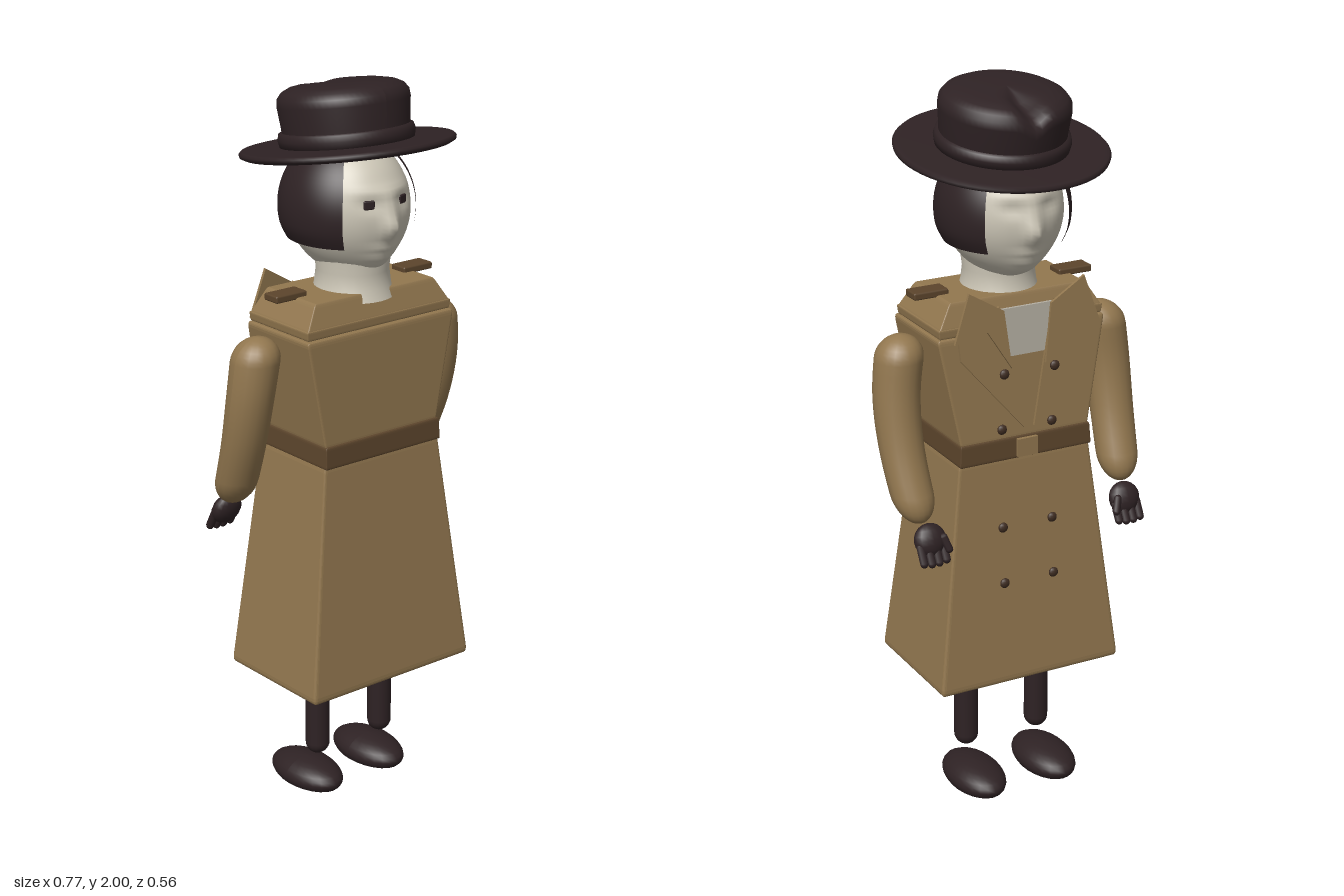
import * as THREE from 'three';
import { RoundedBoxGeometry } from 'three/addons/geometries/RoundedBoxGeometry.js';

const mat = (name, color) => {
  const m = new THREE.MeshStandardMaterial({ color });
  m.name = name;
  return m;
};

export function createModel() {
  const root = new THREE.Group();
  const coat = mat('coat tan', 0x92774f);
  const trim = mat('belt brown', 0x5c452c);
  const dark = mat('felt and leather', 0x2e2224);
  const skin = mat('pale skin', 0xccc6b6);
  const shirtMat = mat('shirt grey', 0xb4aea2);
  const buttonMat = mat('button brown', 0x3f2d22);

  const add = (name, geo, material, x = 0, y = 0, z = 0, parent = root) => {
    const m = new THREE.Mesh(geo, material);
    m.name = name;
    m.position.set(x, y, z);
    parent.add(m);
    return m;
  };
  // Apply a rule to every vertex
  const warp = (geo, rule) => {
    const p = geo.attributes.position, v = new THREE.Vector3();
    for (let i = 0; i < p.count; i++) {
      v.fromBufferAttribute(p, i);
      rule(v);
      p.setXYZ(i, v.x, v.y, v.z);
    }
    geo.computeVertexNormals();
    return geo;
  };
  const bump = (d, s) => Math.exp(-d * d / (s * s));
  const lerp = THREE.MathUtils.lerp;

  // Rounded block tapering between two rectangles [halfWidth, frontZ, backZ]
  const block = (name, material, y0, y1, low, high, r = 0.015) => {
    const g = warp(new RoundedBoxGeometry(1, y1 - y0, 1, 2, r), v => {
      const t = v.y / (y1 - y0) + 0.5;
      const [w, f, b] = low.map((n, i) => lerp(n, high[i], t));
      v.set(v.x * 2 * w, v.y, lerp(b, f, v.z + 0.5));
    });
    return add(name, g, material, 0, (y0 + y1) / 2, 0);
  };

  // Coat
  block('coatSkirt', coat, 0.365, 1.02, [0.275, 0.198, -0.174], [0.195, 0.147, -0.13], 0.02);
  block('belt', trim, 1.01, 1.07, [0.198, 0.155, -0.14], [0.194, 0.152, -0.137], 0.008);
  block('coatBody', coat, 1.06, 1.365, [0.19, 0.145, -0.132], [0.248, 0.145, -0.115]);
  block('shoulderHem', coat, 1.367, 1.392, [0.24, 0.135, -0.11], [0.243, 0.137, -0.112], 0.006);
  block('shoulderCape', coat, 1.385, 1.455, [0.243, 0.137, -0.112], [0.2, 0.115, -0.09], 0.01);
  add('buckle', new THREE.BoxGeometry(0.06, 0.05, 0.012), coat, 0, 1.04, -0.142);

  // Flat pieces on the coat opening, leaning outward towards the waist
  const flap = (name, pts, side, off, material) => {
    const shape = new THREE.Shape(pts.map(([x, y]) => new THREE.Vector2(x * side, y)));
    const g = new THREE.ExtrudeGeometry(shape, { depth: 0.008, bevelEnabled: false });
    warp(g, v => { v.z -= 0.128 + off + (1.49 - v.y) * 0.055; });
    add(name, g, material);
  };
  flap('shirtFront', [[-0.06, 1.3], [-0.085, 1.43], [0.085, 1.43], [0.06, 1.3]], 1, 0, shirtMat);

  for (const s of [1, -1]) {
    flap('lapel', [[0.08, 1.44], [0.2, 1.36], [0.195, 1.31], [0.015, 1.1]], s, 0.005, coat);
    flap('collar', [[0.07, 1.43], [0.17, 1.49], [0.215, 1.36], [0.12, 1.38], [0.05, 1.27]], s, 0.013, coat);
    add('epaulet', new RoundedBoxGeometry(0.1, 0.02, 0.055, 1, 0.005), trim, s * 0.215, 1.459, 0.01);

    // Two columns of buttons
    for (const [y, z] of [[0.66, -0.158], [0.82, -0.148], [1.1, -0.142], [1.26, -0.155]]) {
      const b = add('button', new THREE.SphereGeometry(0.014, 12, 8), buttonMat, s * 0.075, y, z);
      b.scale.z = 0.6;
    }

    // Bent sleeve
    const path = new THREE.CatmullRomCurve3([
      [0.298, 1.36, 0.0], [0.318, 1.2, -0.01], [0.32, 1.06, -0.04], [0.308, 0.87, -0.112],
    ].map(p => new THREE.Vector3(...p)));
    const sleeve = warp(new THREE.CapsuleGeometry(0.066, 0.36, 8, 20, 12), v => {
      const t = THREE.MathUtils.clamp(0.5 - v.y / 0.492, 0, 1);
      const c = path.getPoint(t), k = lerp(1.02, 0.86, t);
      v.set(s * c.x + v.x * k, c.y, c.z + v.z * k);
    });
    add('sleeve', sleeve, coat);

    // Gloved hand
    const hand = new THREE.Group();
    hand.name = 'hand';
    hand.position.set(s * 0.297, 0.835, -0.155);
    hand.rotation.x = 0.35;
    root.add(hand);
    add('palm', new THREE.SphereGeometry(1, 16, 10), dark, 0, 0, 0, hand).scale.set(0.046, 0.045, 0.027);
    for (let i = 0; i < 4; i++) {
      const f = add('finger', new THREE.CapsuleGeometry(0.0115, 0.045, 4, 8), dark,
        (i - 1.5) * 0.022, -0.042 + 0.004 * Math.abs(i - 1.5), -0.008, hand);
      f.rotation.x = 0.15;
    }
    const thumb = add('thumb', new THREE.CapsuleGeometry(0.011, 0.035, 4, 8), dark, -s * 0.036, -0.015, -0.02, hand);
    thumb.rotation.z = -s * 0.3;

    // Leg and shoe
    const leg = add('leg', new THREE.CapsuleGeometry(0.034, 0.24, 6, 16), dark, s * 0.112, 0.255, 0.004);
    leg.scale.y = 1;
    const shoe = warp(new THREE.SphereGeometry(1, 24, 14), v => {
      const y = Math.max(v.y, -0.55);
      v.set(v.x * 0.077, (y + 0.55) * 0.047, v.z * 0.13);
    });
    add('shoe', shoe, dark, s * 0.112, 0, -0.043);
  }

  // Neck
  const neck = new THREE.LatheGeometry([[0.11, 0], [0.1, 0.03], [0.095, 0.07], [0.105, 0.15]]
    .map(p => new THREE.Vector2(...p)), 28);
  add('neck', neck, skin, 0, 1.43, 0.02).scale.z = 1.05;

  // Head with nose, brow and mouth pushed out of an egg
  const head = warp(new THREE.SphereGeometry(1, 64, 48), v => {
    const f = v.z, taper = v.y < 0 ? 1 - 0.14 * v.y * v.y : 1;
    v.set(v.x * 0.158 * taper, v.y * 0.185, v.z * 0.174);
    if (Math.abs(f) < 0.4) return;
    const nose = bump(v.x, 0.022) * (bump(v.y + 0.03, 0.032) * 0.028 + bump(v.y - 0.02, 0.04) * 0.01);
    const brow = bump(v.y - 0.065, 0.014) * bump(v.x, 0.08) * 0.008;
    const socket = bump(Math.abs(v.x) - 0.055, 0.025) * bump(v.y - 0.035, 0.018) * 0.008;
    const lips = bump(v.x, 0.045) * (bump(v.y + 0.088, 0.01) + bump(v.y + 0.112, 0.01)) * 0.01;
    const chin = bump(v.x, 0.05) * bump(v.y + 0.14, 0.025) * 0.015;
    v.z += Math.sign(f) * (nose + brow + lips + chin - socket);
  });
  add('head', head, skin, 0, 1.665, 0);

  for (const s of [1, -1]) {
    const eye = add('eye', new RoundedBoxGeometry(0.03, 0.024, 0.009, 2, 0.004), dark, s * 0.055, 1.7, 0.154);
    eye.rotation.y = s * 0.33;
    // Side hair hugging the skull, closing to a rounded lower edge
    const hair = warp(new THREE.SphereGeometry(1, 24, 24, -0.85, 1.7, 0.3, 1.75), v => {
      const side = v.z, front = v.x;
      const inset = v.y < -0.3 ? 1 - (-0.3 - v.y) * 0.35 : 1;
      v.set(side * 0.177 * inset, v.y * 0.19, front * 0.182);
    });
    hair.rotateY(0);
    warp(hair, v => { v.y += 0; });
    const lock = add('sideHair', hair, dark, 0, 1.665, -0.004);
    // Sphere slice is centred on -x, so the left one is turned around
    lock.rotation.y = 0;
    hair.dispose();
    lock.geometry = warp(new THREE.SphereGeometry(1, 28, 24, (s > 0 ? Math.PI : 0) - 0.82, 1.64, 0.3, 1.72), v => {
      const inset = v.y < -0.25 ? 1 - (-0.25 - v.y) * 0.2 : 1;
      v.set(v.x * 0.18 * inset, v.y * 0.19, v.z * 0.184);
    });
    lock.material = dark;
  }

  // Hat, tipped back
  const hat = new THREE.Group();
  hat.name = 'hat';
  hat.position.set(0, 1.82, 0);
  hat.rotation.x = -0.145;
  root.add(hat);
  const lathe = pts => new THREE.LatheGeometry(pts.map(p => new THREE.Vector2(...p)), 64);
  add('brim', lathe([[0, -0.012], [0.17, -0.012], [0.27, -0.01], [0.282, -0.004], [0.284, 0.004],
    [0.278, 0.01], [0.265, 0.009], [0.17, 0.012], [0, 0.012]]), dark, 0, 0, 0, hat);
  add('hatBand', lathe([[0.165, 0.01], [0.176, 0.012], [0.18, 0.03], [0.176, 0.046], [0.165, 0.05]]), dark, 0, 0, 0, hat);
  const crown = warp(lathe([[0.165, 0], [0.168, 0.06], [0.174, 0.115], [0.172, 0.135], [0.16, 0.15],
    [0.14, 0.16], [0.11, 0.166], [0.07, 0.169], [0.03, 0.17], [0, 0.17]]), v => {
    // Pinched crease running from the middle to the back
    if (v.y > 0.1) v.y -= 0.028 * bump(v.x, 0.03) * THREE.MathUtils.smoothstep(-v.z, 0.0, 0.09);
  });
  add('crown', crown, dark, 0, 0, 0, hat);

  return root;
}
